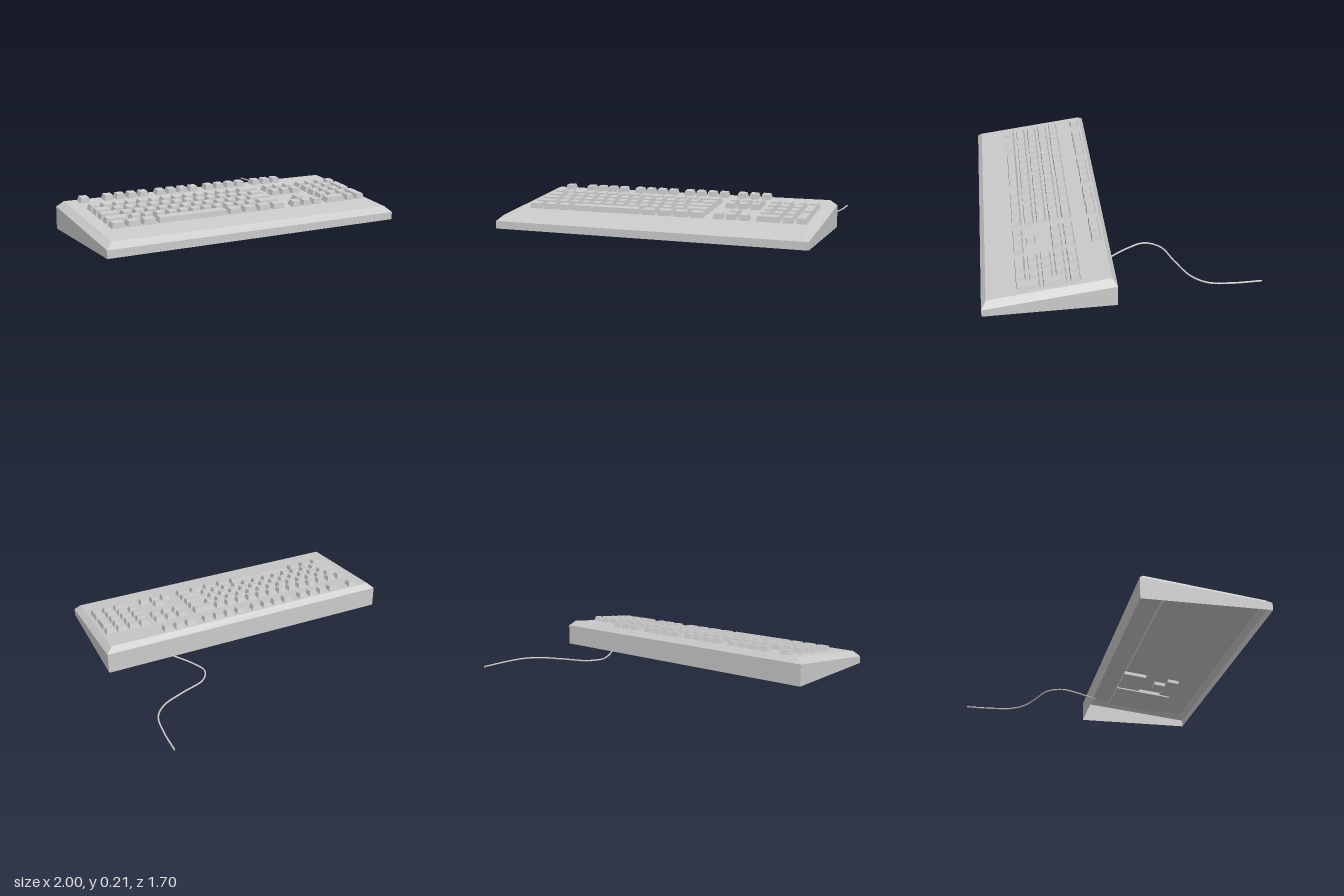
import * as THREE from 'three';

const SLOPE = 0.09 / 0.74;
const TILT = Math.atan(SLOPE);
const U = 0.0802; // key pitch
const GAP = 0.016;
const plateY = z => 0.085 + (0.82 - z) * SLOPE;

const grey = new THREE.MeshStandardMaterial({ color: 0xcccccc, flatShading: true, side: THREE.DoubleSide });

// Open-bottomed case: rectangular rings joined by walls, closed by the sloping plate
function caseGeometry() {
  const ring = (x, zBack, yBack, zFront, yFront) =>
    [[-x, yFront, zFront], [x, yFront, zFront], [x, yBack, zBack], [-x, yBack, zBack]];
  const rings = [
    ring(1, 0.05, 0, 0.85, 0),
    ring(1, 0.05, 0.14, 0.85, 0.048),
    ring(0.96, 0.08, 0.175, 0.82, 0.085),
  ];
  const pos = [];
  const quad = (a, b, c, d) => pos.push(...a, ...b, ...c, ...a, ...c, ...d);
  for (let r = 0; r < 2; r++)
    for (let i = 0; i < 4; i++) {
      const j = (i + 1) % 4;
      quad(rings[r][i], rings[r][j], rings[r + 1][j], rings[r + 1][i]);
    }
  quad(...rings[2]);
  const g = new THREE.BufferGeometry();
  g.setAttribute('position', new THREE.Float32BufferAttribute(pos, 3));
  g.computeVertexNormals();
  return g;
}

// Keycap: a box narrowed towards its top, base sunk just below the plate
function keyGeometry(w, d) {
  const h = 0.037;
  const g = new THREE.BoxGeometry(w, h, d);
  g.translate(0, h / 2 - 0.004, 0);
  const p = g.attributes.position;
  for (let i = 0; i < p.count; i++)
    if (p.getY(i) > 0.01) {
      p.setX(i, p.getX(i) - Math.sign(p.getX(i)) * 0.008);
      p.setZ(i, p.getZ(i) - Math.sign(p.getZ(i)) * 0.008);
    }
  g.computeVertexNormals();
  return g;
}

export function createModel() {
  const model = new THREE.Group();

  const add = (name, geometry, parent = model) => {
    const m = new THREE.Mesh(geometry, grey);
    m.name = name;
    parent.add(m);
    return m;
  };
  const section = name => {
    const g = new THREE.Group();
    g.name = name;
    model.add(g);
    return g;
  };
  const addKey = (parent, name, x, z, units = 1, rows = 1) => {
    const k = add(name, keyGeometry(units * U - GAP, rows * U - GAP), parent);
    const zc = z + (rows - 1) * U / 2;
    k.position.set(x + (units * U - GAP) / 2, plateY(zc), zc);
    k.rotation.x = TILT;
  };
  // A run of keys from left to right, each given by its width in key units
  const addRow = (parent, x, z, widths) => {
    for (const w of widths) {
      addKey(parent, w > 4 ? 'spaceBar' : 'key', x, z, w);
      x += w * U;
    }
  };
  const ones = n => Array(n).fill(1);

  add('case', caseGeometry());

  const Z = [0.125, 0.288, 0.368, 0.448, 0.528, 0.608];
  const LEFT = -0.88, NAV = 0.366, PAD = 0.633;

  // Function row
  const functionKeys = section('functionKeys');
  addRow(functionKeys, LEFT, Z[0], [1]);
  for (const x of [-0.72, -0.358, 0]) addRow(functionKeys, x, Z[0], ones(4));
  addRow(functionKeys, NAV, Z[0], ones(3));

  // Main block
  const mainKeys = section('mainKeys');
  [
    [...ones(13), 2],
    [1.5, ...ones(12), 1.5],
    [1.75, ...ones(11), 2.25],
    [2, ...ones(11), 2],
    [1.25, 1.25, 1.25, 6, ...Array(4).fill(1.3125)],
  ].forEach((row, i) => addRow(mainKeys, LEFT, Z[i + 1], row));

  // Navigation block and arrows
  const navigationKeys = section('navigationKeys');
  for (const z of [Z[1], Z[2], Z[5]]) addRow(navigationKeys, NAV, z, ones(3));
  addRow(navigationKeys, NAV + U, Z[4], [1]);

  // Number pad, with two tall keys at its edge
  const numberPad = section('numberPad');
  addRow(numberPad, PAD, Z[1], ones(4));
  for (const z of [Z[2], Z[3], Z[4]]) addRow(numberPad, PAD, z, ones(3));
  addRow(numberPad, PAD, Z[5], [2, 1]);
  for (const z of [Z[2], Z[4]]) addKey(numberPad, 'tallKey', PAD + 3 * U, z, 1, 2);

  // Shallow key trays under the plate: x from, x to, z from, z to
  const trays = section('keyTrays');
  for (const [x0, x1, z0, z1] of [
    [-0.89, 0.605, 0.085, 0.165],
    [-0.89, 0.31, 0.248, 0.648],
    [0.358, 0.605, 0.248, 0.408],
    [0.44, 0.525, 0.488, 0.568],
    [0.358, 0.605, 0.568, 0.648],
    [0.625, 0.945, 0.248, 0.648],
  ]) {
    const t = add('keyTray', new THREE.BoxGeometry(x1 - x0, 0.024, z1 - z0), trays);
    const zc = (z0 + z1) / 2;
    t.position.set((x0 + x1) / 2, plateY(zc) - 0.014, zc);
    t.rotation.x = TILT;
  }

  // Cable lying on the ground
  const path = new THREE.CatmullRomCurve3([
    [0.575, 0.07], [0.555, 0.04], [0.475, -0.09], [0.437, -0.2], [0.49, -0.295], [0.65, -0.36],
    [0.8, -0.43], [0.875, -0.52], [0.898, -0.66], [0.9, -0.85],
  ].map(([x, z]) => new THREE.Vector3(x, 0.006, z)));
  const cable = add('cable', new THREE.TubeGeometry(path, 60, 0.0055, 8));
  cable.material = new THREE.MeshStandardMaterial({ color: 0xcccccc, side: THREE.DoubleSide });

  return model;
}
